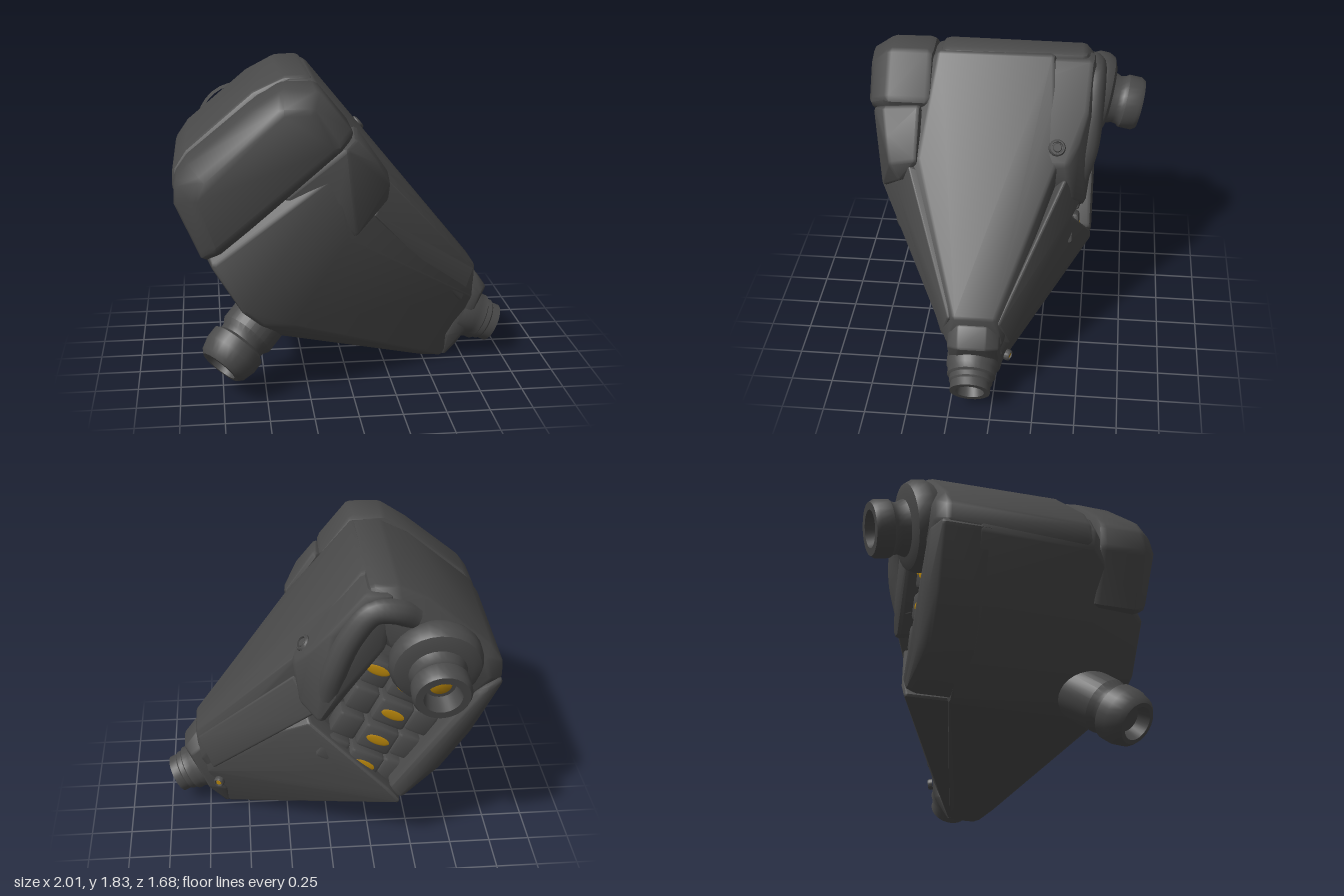
import * as THREE from 'three';
import { toCreasedNormals } from 'three/addons/utils/BufferGeometryUtils.js';
import { ConvexGeometry } from 'three/addons/geometries/ConvexGeometry.js';

const V = (p) => new THREE.Vector3(...p);

// directions used to round the corners of a block
const ROUND = [];
for (let x = -1; x <= 1; x++) for (let y = -1; y <= 1; y++) for (let z = -1; z <= 1; z++) {
  if (x || y || z) ROUND.push(new THREE.Vector3(x, y, z).normalize());
}

// the same outline of [x, y] corners at two depths
const slab = (outline, z0, z1) => outline.flatMap(([x, y]) => [[x, y, z0], [x, y, z1]]);

export function createModel() {
  const group = new THREE.Group();
  const charcoal = new THREE.MeshStandardMaterial({ color: 0x4a4a4a });
  charcoal.name = 'charcoal';
  const amber = new THREE.MeshStandardMaterial({ color: 0xb8860b });
  amber.name = 'amber';

  function add(name, geometry, material = charcoal) {
    const mesh = new THREE.Mesh(geometry, material);
    mesh.name = name;
    group.add(mesh);
    return mesh;
  }

  // convex block with rounded corners
  function block(name, r, corners) {
    const pts = corners.map(V);
    const mid = pts.reduce((s, p) => s.add(p), new THREE.Vector3()).divideScalar(pts.length);
    const cloud = pts.flatMap((p) => {
      const c = p.clone().add(mid.clone().sub(p).normalize().multiplyScalar(r * 1.3));
      return ROUND.map((d) => c.clone().addScaledVector(d, r));
    });
    return add(name, toCreasedNormals(new ConvexGeometry(cloud), 0.65));
  }

  // turned part standing at a point and pointing along a direction
  function turned(name, at, dir, profile, material = charcoal) {
    const pts = profile.map(([r, h]) => new THREE.Vector2(r, h));
    const mesh = add(name, toCreasedNormals(new THREE.LatheGeometry(pts, 28), 0.6), material);
    mesh.position.copy(V(at));
    mesh.quaternion.setFromUnitVectors(new THREE.Vector3(0, 1, 0), V(dir).normalize());
    return mesh;
  }

  // tapered main body
  const crown = [[-0.2, 1.82], [-0.33, 1.82], [-0.5, 1.74], [-0.93, 1.38], [-1, 1.27], [-1, 1.17], [-0.84, 0.85]];
  block('body', 0.03, [
    ...slab(crown, -0.28, 0.41),
    ...slab([[-0.8, 0.83], [-0.63, 0.55]], -0.28, 0.765),
    [-0.41, 0.35, -0.28], [-0.41, 0.35, 0.64], [-0.53, 0.46, 0.74], [-0.35, 0.44, 0.74],
    [-0.02, 0.97, 0.775], [-0.1, 1.35, 0.775],
    [0.0, 1.57, -0.3], [0.0, 1.57, 0.45],
    [0.21, 1.3, -0.33], [0.21, 1.3, 0.5], [0.14, 1.0, -0.33],
    [0.5, 0.03, 0.03], [0.5, 0.03, 0.25], [0.63, 0, 0.04], [0.63, 0, 0.2],
    [0.82, 0.58, -0.01], [0.82, 0.58, 0.22], [0.8, 0.4, -0.04], [0.8, 0.4, 0.26],
  ]);

  // rounded front cap with its seam
  block('frontCap', 0.05, [
    ...slab([[-0.17, 1.81], [-0.35, 1.82], [-0.52, 1.73], [-0.94, 1.38], [-1, 1.28], [-1, 1.16],
      [-0.85, 0.85], [-0.8, 0.86], [0.0, 1.54], [0.01, 1.58]], 0.46, 0.7),
    [-0.2, 1.73, 0.8], [-0.36, 1.74, 0.82], [-0.88, 1.32, 0.81], [-0.92, 1.2, 0.8],
    [-0.8, 0.9, 0.765], [-0.06, 1.52, 0.8],
  ]);

  // front shoulder below the cap
  block('frontShoulder', 0.03, [
    [-0.06, 1.5, 0.78], [0.02, 1.56, 0.5], [0.0, 1.54, 0.72], [0.14, 1.41, 0.69], [0.22, 1.28, 0.5],
    [0.22, 1.24, 0.65], [0.21, 1.14, 0.6], [0.0, 0.97, 0.74], [-0.12, 1.1, 0.75], [-0.4, 1.2, 0.72],
  ]);

  // raised rails along the front slope
  block('frontRail', 0.015, [
    [0.2, 1.25, 0.55], [0.12, 1.08, 0.65], [0.2, 1.2, 0.4],
    [0.8, 0.58, 0.25], [0.72, 0.4, 0.3], [0.75, 0.5, 0.15],
  ]);

  // rear walls around the open bay
  const rim = crown.slice(0, 6).map(([x, y]) => [-0.5 + (x + 0.5) * 0.985, 1.3 + (y - 1.3) * 0.985]);
  block('rearTopWall', 0.04, [
    ...slab([...rim, [-0.86, 1.08], [-0.3, 1.46]], -0.47, 0.4),
    ...[[-0.23, 1.74], [-0.34, 1.75], [-0.9, 1.32], [-0.93, 1.2], [-0.83, 1.1], [-0.32, 1.48]].map(([x, y]) => [x, y, -0.52]),
  ]);
  block('rearShoulder', 0.04, [
    ...slab([[-0.22, 1.79], [-0.33, 1.78], [-0.3, 1.46], [-0.02, 1.1], [-0.01, 1.55]], -0.52, 0.3),
    [0.12, 1.38, -0.47], [0.21, 1.27, -0.4], [0.17, 1.03, -0.43], [0.07, 0.94, -0.49], [0.19, 1.25, 0.3],
  ]);
  block('rearSideWall', 0.03, [
    ...slab([[-0.99, 1.2], [-0.84, 0.86], [-0.63, 0.56], [-0.4, 0.38]], -0.48, -0.2),
    ...slab([[-0.92, 1.18], [-0.79, 0.88], [-0.6, 0.6], [-0.4, 0.4], [-0.36, 0.45], [-0.64, 0.86], [-0.87, 1.15]], -0.525, -0.2),
  ]);
  block('rearLowerPanel', 0.02, [
    [-0.42, 0.37, -0.53], [-0.36, 0.45, -0.53], [-0.07, 0.56, -0.44], [0.12, 0.9, -0.41], [0.15, 0.95, -0.3],
    [-0.4, 0.38, -0.2], [0.63, 0.01, 0.04], [0.76, 0.3, -0.03], [0.78, 0.42, 0],
  ]);
  block('rearRail', 0.015, [
    [0.2, 1.2, -0.38], [0.1, 1.0, -0.46], [0.15, 1.0, -0.2],
    [0.8, 0.55, -0.03], [0.72, 0.36, -0.08], [0.7, 0.4, 0.1],
  ]);

  // hood arching over the rear port
  const arch = new THREE.CatmullRomCurve3(
    [[-0.46, 1.62, -0.47], [-0.36, 1.68, -0.51], [-0.23, 1.68, -0.515], [-0.11, 1.53, -0.51], [-0.02, 1.3, -0.49], [0.02, 1.08, -0.43]].map(V));
  add('rearHood', new THREE.TubeGeometry(arch, 32, 0.075, 12));

  // ribbed blocks inside the bay, with lights
  const tilt = Math.atan2(0.45, 0.89);
  function ribLight(x, y, z) {
    const light = add('ribLight', new THREE.SphereGeometry(1, 16, 8), amber);
    light.scale.set(0.08, 0.032, 0.008);
    light.position.set(x, y, z);
    light.rotation.z = tilt;
  }
  for (let row = 0; row < 4; row++) {
    for (const [side, width] of [[-0.2, 0.15], [0, 0.21], [0.2, 0.15]]) {
      const x = -0.45 + row * 0.085 + side * 0.89;
      const y = 1.13 - row * 0.175 + side * 0.45;
      const depth = side ? 0.12 : 0.15;
      const rib = block('bayRib', 0.025,
        slab([[-width / 2, -0.075], [width / 2, -0.075], [width / 2, 0.075], [-width / 2, 0.075]], -depth, 0.08));
      rib.position.set(x, y, -0.31);
      rib.rotation.z = tilt;
      if (side === 0 || (side > 0 && row === 0)) ribLight(x, y + side * 0.15, -0.31 - depth - 0.001);
    }
  }

  // rear port
  const rearDir = [0, -0.2, -0.98];
  turned('rearFlange', [-0.59, 1.37, -0.46], rearDir,
    [[0.25, 0], [0.27, 0.04], [0.27, 0.1], [0.25, 0.14], [0.2, 0.16], [0, 0.16]]);
  turned('rearPort', [-0.59, 1.33, -0.61], rearDir, [
    [0.17, 0], [0.15, 0.05], [0.155, 0.08], [0.17, 0.1], [0.17, 0.18], [0.155, 0.205], [0.11, 0.205], [0.09, 0.1], [0, 0.1],
  ]);
  turned('rearPortLight', [-0.59, 1.31, -0.712], rearDir, [[0.065, 0], [0.055, 0.006], [0, 0.006]], amber);

  // lower front port
  turned('lowerPort', [-0.46, 0.5, 0.49], [-0.67, -0.64, 0.48], [
    [0.165, 0], [0.165, 0.23], [0.145, 0.26], [0.14, 0.29], [0.17, 0.31], [0.17, 0.38], [0.15, 0.45], [0.125, 0.475],
    [0.1, 0.475], [0.08, 0.4], [0, 0.4],
  ]);

  // tip collar and nozzle
  block('tipCollar', 0.02, [
    ...[-0.04, 0.26].flatMap((z) => [[0.78, 0.5, z], [0.85, 0.44, z], [0.74, 0.16, z], [0.64, 0.14, z]]),
    ...[0.03, 0.2].flatMap((z) => [[0.81, 0.56, z], [0.89, 0.46, z], [0.7, 0.07, z], [0.63, 0.0, z]]),
  ]);
  turned('nozzle', [0.73, 0.28, 0.12], [0.9, -0.44, 0], [
    [0.155, 0], [0.155, 0.09], [0.145, 0.11], [0.145, 0.15], [0.13, 0.16], [0.13, 0.19], [0.12, 0.2], [0.12, 0.25],
    [0.085, 0.25], [0.075, 0.17], [0, 0.17],
  ]);

  // screws
  function screw(name, at, dir, size, core) {
    turned(name, at, dir, [[size, 0], [size, 0.02], [size * 0.85, 0.03], [size * 0.7, 0.03], [size * 0.65, 0.015], [0, 0.015]]);
    const hub = V(at).addScaledVector(V(dir).normalize(), 0.018);
    turned(name + 'Hub', hub.toArray(), dir, [[size * 0.55, 0], [size * 0.45, 0.008], [0, 0.008]], core);
  }
  screw('upperScrew', [0.14, 1.38, -0.32], [0.75, 0.6, -0.2], 0.05, charcoal);
  screw('tipScrew', [0.68, 0.24, -0.07], [0.35, -0.1, -0.9], 0.034, amber);

  // two slits on the upper slope
  for (const z of [-0.44, -0.39]) {
    const slit = add('ventSlit', new THREE.BoxGeometry(0.19, 0.012, 0.014));
    slit.position.set(-0.73, 1.547, z);
    slit.rotation.set(0, 0.12, Math.atan2(0.36, 0.43));
  }
  return group;
}
